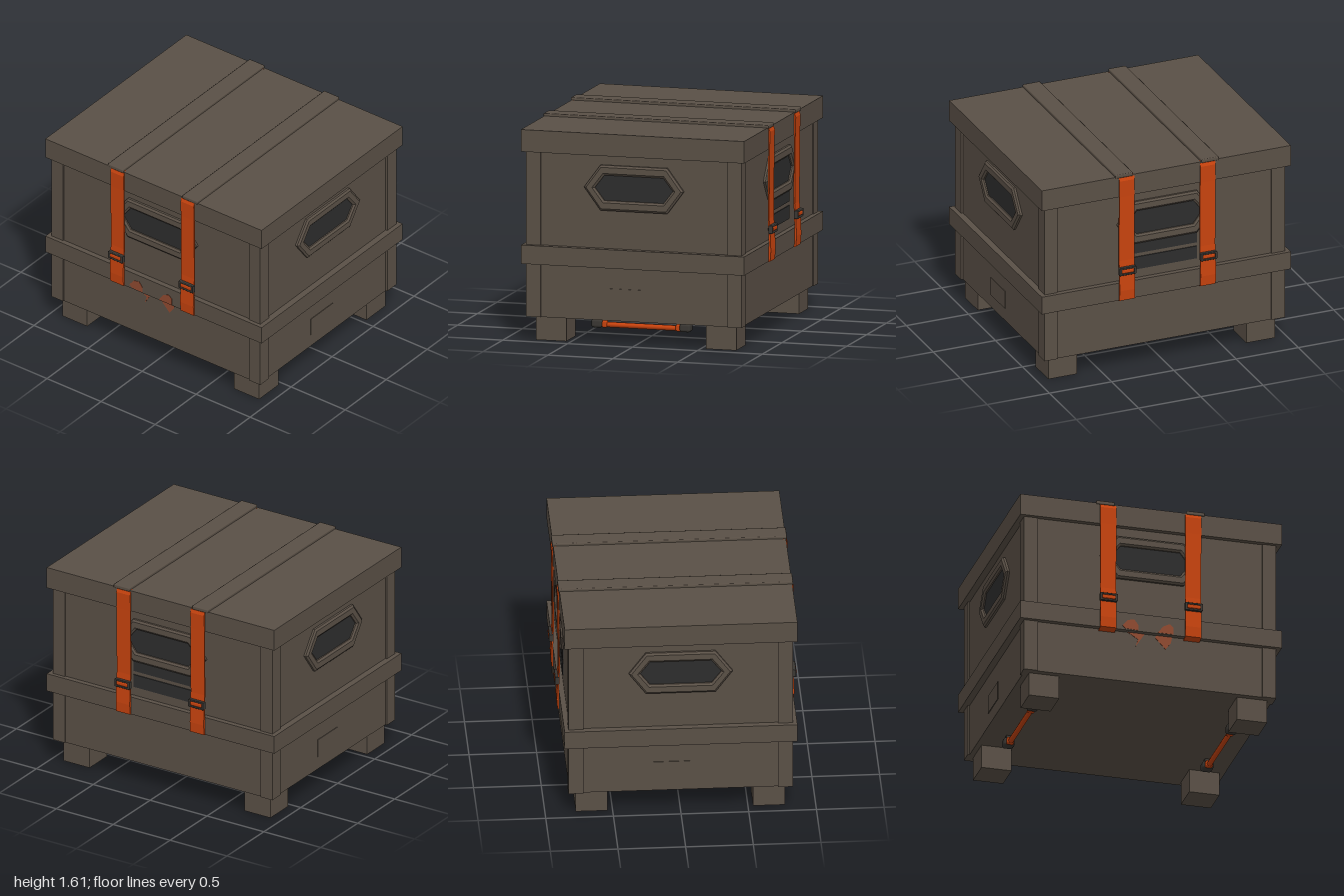
import * as THREE from 'three';
import { RoundedBoxGeometry } from 'three/addons/geometries/RoundedBoxGeometry.js';

const material = (name, color) => {
  const m = new THREE.MeshStandardMaterial({ color });
  m.name = name;
  return m;
};

export function createModel() {
  const brown = material('drab brown', 0x5a5046);
  const orange = material('strap orange', 0xc8430e);
  const dark = material('dark grille', 0x2d2d2d);
  const metal = material('buckle grey', 0x3a3733);
  const paint = material('worn orange paint', 0x8f4a30);

  const model = new THREE.Group();
  model.name = 'crate';

  const add = (parent, name, geometry, mat, x = 0, y = 0, z = 0) => {
    const mesh = new THREE.Mesh(geometry, mat);
    mesh.name = name;
    mesh.position.set(x, y, z);
    parent.add(mesh);
    return mesh;
  };
  // Box given by its limits on each axis
  const box = (parent, name, mat, x0, x1, y0, y1, z0, z1) =>
    add(parent, name, new THREE.BoxGeometry(x1 - x0, y1 - y0, z1 - z0), mat,
      (x0 + x1) / 2, (y0 + y1) / 2, (z0 + z1) / 2);
  const shapeOf = (points) => new THREE.Shape(points.map(([x, y]) => new THREE.Vector2(x, y)));
  const plate = (points, depth) =>
    new THREE.ExtrudeGeometry(shapeOf(points), { depth, bevelEnabled: false });

  // Main shell
  box(model, 'body', brown, -0.95, 0.95, 0.18, 1.45, -0.82, 0.82);
  box(model, 'middleBand', brown, -1, 1, 0.58, 0.72, -0.86, 0.86);
  box(model, 'lid', brown, -1, 1, 1.42, 1.585, -0.86, 0.86);

  // Corner posts and feet
  for (const sx of [-1, 1]) {
    for (const sz of [-1, 1]) {
      add(model, 'cornerPost', new THREE.BoxGeometry(0.105, 1.24, 0.11), brown,
        sx * 0.912, 0.8, sz * 0.775);
      add(model, 'foot', new THREE.BoxGeometry(0.23, 0.18, 0.235), brown,
        sx * 0.795, 0.09, sz * 0.655);
    }
  }

  // Six-sided window frame with a dark grille, facing +z of its group
  const hexagon = (tip, flat, half) =>
    [[-tip, 0], [-flat, -half], [flat, -half], [tip, 0], [flat, half], [-flat, half]];
  const addWindow = (parent, surface) => {
    const ring = shapeOf(hexagon(0.365, 0.25, 0.155));
    ring.holes.push(shapeOf(hexagon(0.32, 0.235, 0.11)));
    const frame = new THREE.ExtrudeGeometry(ring, {
      depth: 0.016, bevelEnabled: true, bevelSegments: 1,
      bevelThickness: 0.012, bevelSize: 0.015, bevelOffset: 0,
    });
    add(parent, 'windowFrame', frame, brown, 0, 1.175, surface);
    add(parent, 'windowGrille', plate(hexagon(0.33, 0.245, 0.115), 0.006), dark, 0, 1.17, surface);
  };

  // Strap side profile in (z, y), hugging the lid rim and the band
  const strapProfile = [
    [0.84, 1.587], [0.862, 1.575], [0.872, 1.55], [0.868, 1.42], [0.864, 0.9], [0.872, 0.8],
    [0.878, 0.66], [0.872, 0.58], [0.82, 0.565], [0.82, 0.575], [0.86, 0.585],
    [0.862, 0.72], [0.855, 0.9], [0.858, 1.42], [0.86, 1.54], [0.84, 1.575],
  ];
  const strapGeometry = plate(strapProfile, 0.122);
  strapGeometry.rotateY(-Math.PI / 2).translate(0.061, 0, 0);

  const strapCentres = [-0.33, 0.32];
  for (const side of [1, -1]) {
    const face = new THREE.Group();
    face.name = side > 0 ? 'frontFace' : 'backFace';
    face.rotation.y = side > 0 ? 0 : Math.PI;
    model.add(face);
    addWindow(face, 0.82);

    // Straps with buckles
    for (const cx of strapCentres) {
      const x = cx * side;
      add(face, 'strap', strapGeometry, orange, x, 0, 0);
      for (const y of [0.843, 0.795]) {
        add(face, 'buckleBar', new RoundedBoxGeometry(0.13, 0.016, 0.03, 2, 0.006), metal, x, y, 0.876);
      }
      for (const s of [-1, 1]) {
        add(face, 'buckleSide', new THREE.BoxGeometry(0.016, 0.055, 0.03), metal, x + s * 0.058, 0.82, 0.876);
      }
      add(face, 'buckleLoop', new RoundedBoxGeometry(0.1, 0.03, 0.024, 2, 0.008), orange, x, 0.82, 0.882);
    }

    // Lower vent slots on the back
    if (side < 0) {
      for (const y of [0.97, 0.84]) {
        box(face, 'ventSlot', dark, -0.26, 0.26, y - 0.05, y + 0.05, 0.818, 0.827);
      }
    }
  }

  // Strap runs across the lid
  for (const cx of [-0.35, 0.34]) {
    add(model, 'lidStrap', new RoundedBoxGeometry(0.14, 0.03, 1.735, 1, 0.008), brown, cx, 1.59, 0);
  }

  // Worn paint marks on the band and on the panel below it
  const marks = [
    [0.861, [[-0.22, 0.61], [-0.2, 0.59], [-0.1, 0.585], [-0.1, 0.63], [-0.13, 0.67], [-0.18, 0.66]]],
    [0.861, [[0.05, 0.585], [0.17, 0.585], [0.17, 0.64], [0.14, 0.665], [0.09, 0.64]]],
    [0.821, [[-0.17, 0.58], [-0.09, 0.53], [-0.11, 0.47], [-0.04, 0.58]]],
    [0.821, [[0.04, 0.56], [0.12, 0.475], [0.16, 0.53], [0.17, 0.58], [0.05, 0.58]]],
  ];
  for (const [z, points] of marks) add(model, 'paintMark', plate(points, 0.003), paint, 0, 0, z);

  // Side windows, access plates and handles under the floor
  for (const side of [1, -1]) {
    const face = new THREE.Group();
    face.name = side > 0 ? 'leftFace' : 'rightFace';
    face.rotation.y = side * Math.PI / 2;
    model.add(face);
    addWindow(face, 0.95);
    box(face, 'accessPlate', brown, -0.2, 0.07, 0.28, 0.42, 0.948, 0.955);

    const bar = add(face, 'handleBar', new THREE.CylinderGeometry(0.02, 0.02, 0.6, 10), orange, 0, 0.115, 0.76);
    bar.rotation.z = Math.PI / 2;
    for (const s of [-1, 1]) {
      add(face, 'handleKnob', new RoundedBoxGeometry(0.085, 0.065, 0.085, 2, 0.02), metal, s * 0.34, 0.125, 0.76);
      add(face, 'handleCuff', new RoundedBoxGeometry(0.04, 0.052, 0.055, 2, 0.012), orange, s * 0.285, 0.12, 0.76);
      add(face, 'handleMount', new THREE.BoxGeometry(0.04, 0.05, 0.04), metal, s * 0.34, 0.165, 0.76);
    }
  }
  return model;
}
